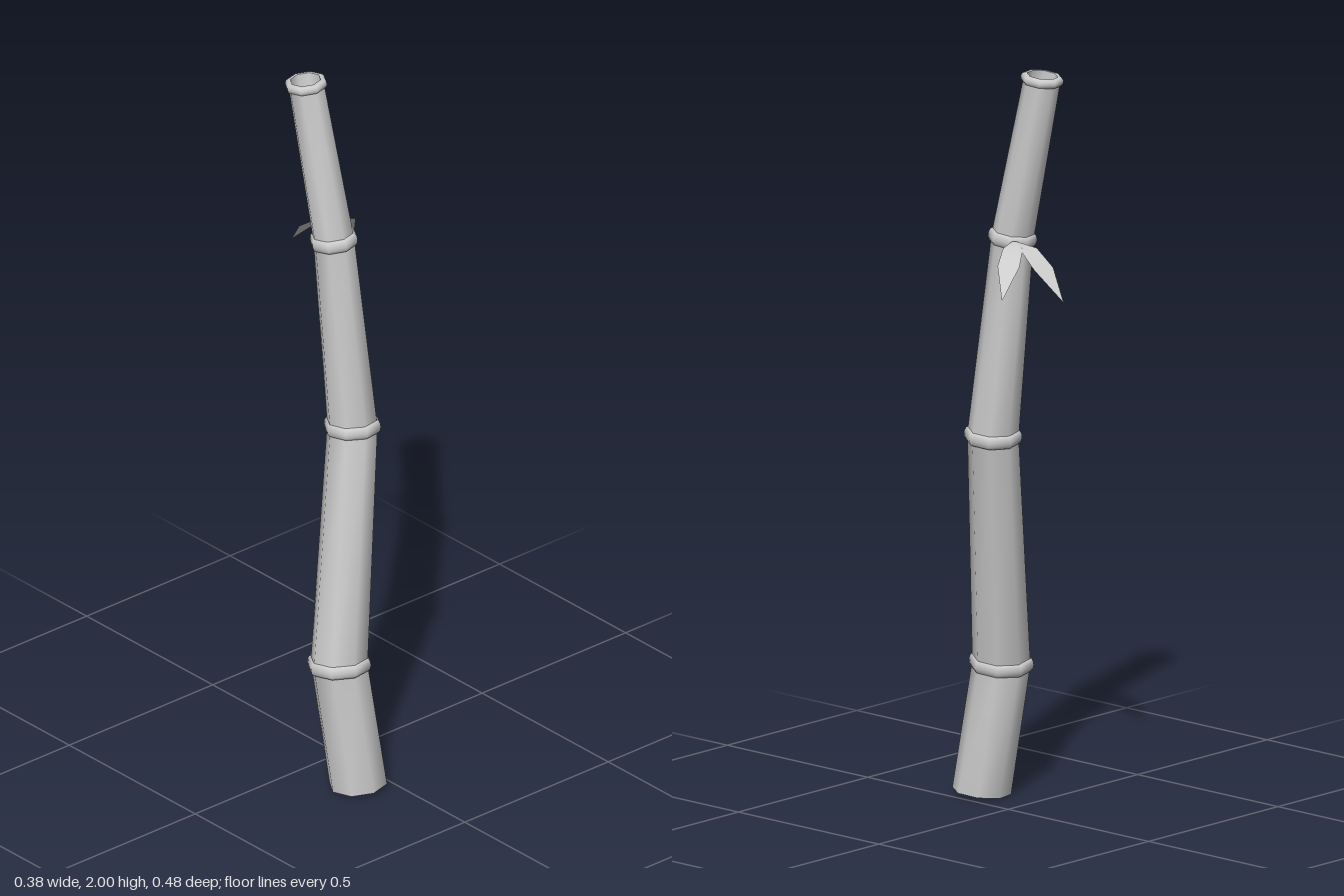
import * as THREE from 'three';

const SIDES = 8, TURN = 0.17;
const mat = new THREE.MeshStandardMaterial({ color: 0xcccccc });
const leafMat = new THREE.MeshStandardMaterial({ color: 0xcccccc, side: THREE.DoubleSide });

// Joints of the cane from ground to top: centre, cane radius, axis direction there
const joints = [
  [-0.077, 0.01, 0.165, 0.078, [-0.05, 1, -0.08]],
  [-0.105, 0.36, 0.121, 0.077, [0.04, 1, -0.11]],
  [0, 1.005, 0.054, 0.068, [0.05, 1, -0.1]],
  [-0.02, 1.545, 0.003, 0.056, [-0.045, 1, -0.12]],
  [-0.042, 1.982, -0.082, 0.049, [-0.045, 1, -0.11]],
].map(([x, y, z, r, d]) => ({ p: new THREE.Vector3(x, y, z), r, d: new THREE.Vector3(...d).normalize() }));

// Octagonal skin through rows of { p: centre, r: radius, d: axis }
function loft(rows) {
  const pos = [], idx = [], up = new THREE.Vector3(0, 1, 0);
  rows.forEach(({ p, r, d }, i) => {
    const q = new THREE.Quaternion().setFromUnitVectors(up, d);
    for (let j = 0; j < SIDES; j++) {
      const a = TURN + (j / SIDES) * Math.PI * 2;
      const v = new THREE.Vector3(Math.cos(a) * r, 0, Math.sin(a) * r).applyQuaternion(q).add(p);
      pos.push(v.x, v.y, v.z);
      if (i === 0) continue;
      const k = (j + 1) % SIDES, lo = (i - 1) * SIDES, hi = i * SIDES;
      idx.push(lo + j, hi + j, lo + k, lo + k, hi + j, hi + k);
    }
  });
  return toGeometry(pos, idx);
}

function toGeometry(pos, idx) {
  const g = new THREE.BufferGeometry();
  g.setAttribute('position', new THREE.Float32BufferAttribute(pos, 3));
  g.setIndex(idx);
  g.computeVertexNormals();
  return g;
}

// A row at distance t along a joint's axis
const rowAt = (joint, t, r) => ({ p: joint.p.clone().addScaledVector(joint.d, t), r, d: joint.d });

// Pointed leaf from cross-sections: [x, y, z, half width], side is the width direction in xz
function leaf(sections, [sx, sz]) {
  const pos = [], idx = [];
  sections.forEach(([x, y, z, w], i) => {
    pos.push(x - sx * w, y, z - sz * w, x + sx * w, y, z + sz * w);
    if (i) idx.push(2 * i - 2, 2 * i - 1, 2 * i, 2 * i - 1, 2 * i + 1, 2 * i);
  });
  return toGeometry(pos, idx);
}

export function createModel() {
  const group = new THREE.Group();
  const add = (name, geometry, material = mat) => {
    const mesh = new THREE.Mesh(geometry, material);
    mesh.name = name;
    group.add(mesh);
  };

  // Straight cane segments with a rounded ring at every joint above the ground
  for (let i = 1; i < joints.length; i++) {
    const joint = joints[i], last = i === joints.length - 1;
    add('caneSegment' + i, loft([joints[i - 1], joint]));
    const h = last ? 0.012 : 0.018, bulge = last ? 0.009 : 0.01;
    const ring = [];
    for (let k = 0; k <= 6; k++) {
      const a = (k / 6 - 0.5) * Math.PI;
      ring.push(rowAt(joint, h * Math.sin(a), joint.r - 0.001 + bulge * Math.cos(a)));
    }
    add('jointRing' + i, loft(ring));
  }

  // Closed foot
  add('foot', loft([rowAt(joints[0], 0, 0), joints[0]]));

  // Hollow top: flat rim, inner wall, floor
  const top = joints[4], rim = 0.012;
  add('rim', loft([rowAt(top, rim, top.r), rowAt(top, rim, 0.041)]));
  const floor = rowAt(top, -0.06, 0.036);
  floor.p.z += 0.005;
  add('innerWall', loft([rowAt(top, rim, 0.041), floor]));
  add('innerFloor', loft([floor, { ...floor, r: 0 }]));

  // Two drooping leaves at the upper joint
  add('leafOuter', leaf([
    [0.028, 1.55, -0.046, 0.005], [0.066, 1.544, -0.078, 0.026],
    [0.121, 1.512, -0.113, 0.029], [0.188, 1.437, -0.151, 0],
  ], [0.56, 0.83]), leafMat);
  add('leafBack', leaf([
    [0.027, 1.55, -0.046, 0.005], [0.037, 1.542, -0.107, 0.025],
    [0.042, 1.5, -0.165, 0.029], [0.047, 1.422, -0.241, 0],
  ], [0.96, 0.28]), leafMat);

  return group;
}
